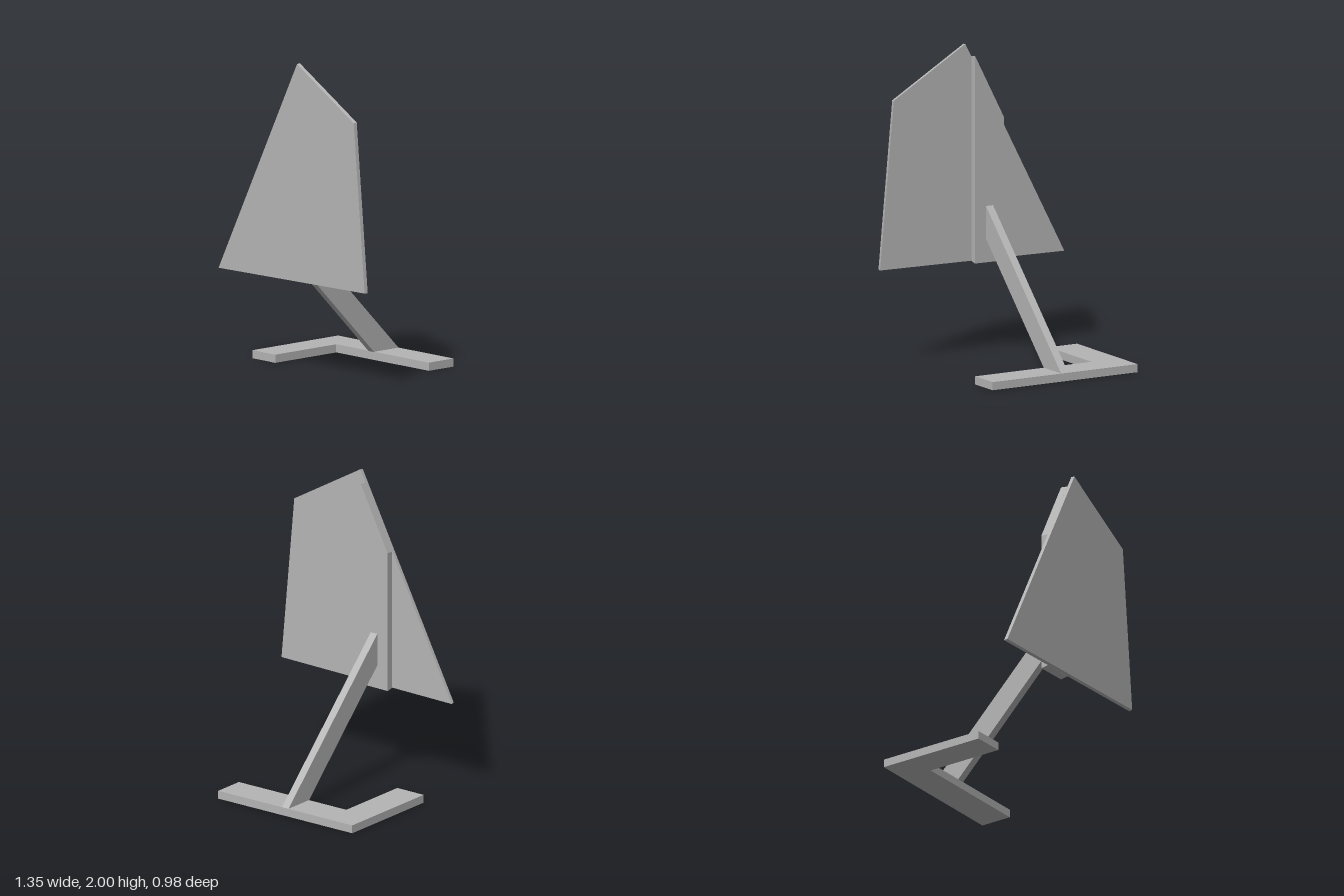
import * as THREE from 'three';

const grey = new THREE.MeshStandardMaterial({ color: 0xb4b4b4 });
grey.name = 'plain grey';

// Straight prism from an outline
function prism(points, depth) {
  const shape = new THREE.Shape(points.map(([x, y]) => new THREE.Vector2(x, y)));
  return new THREE.ExtrudeGeometry(shape, { depth, bevelEnabled: false });
}

// Slight draft: the front face is a touch smaller than the back
function draft(geometry, depth, centreX, centreY, scale) {
  const p = geometry.attributes.position;
  for (let i = 0; i < p.count; i++) {
    if (p.getZ(i) < depth / 2) continue;
    p.setX(i, centreX + (p.getX(i) - centreX) * scale);
    p.setY(i, centreY + (p.getY(i) - centreY) * scale);
  }
  geometry.computeVertexNormals();
  return geometry;
}

function part(name, geometry) {
  const mesh = new THREE.Mesh(geometry, grey);
  mesh.name = name;
  return mesh;
}

export function createModel() {
  const group = new THREE.Group();
  group.name = 'panelOnStand';

  // Four-sided upright panel
  const panel = part('panel', draft(prism(
    [[-0.675, 0.6], [0.673, 0.62], [0.572, 1.694], [0.049, 2]], 0.024), 0.024, 0, 1.25, 0.996));
  panel.position.z = 0.466;

  // Backing rib, its top cut along the panel's sloping edge
  const rib = part('backRib', draft(prism(
    [[-0.205, 0.598], [0.007, 0.601], [0.007, 1.926], [-0.205, 1.512]], 0.049), 0.049, -0.1, 1.25, 0.988));
  rib.position.z = 0.417;

  // Diagonal strut, outline drawn in side view
  const strut = part('strut', prism(
    [[0.28, 0.05], [0.49, 0.05], [-0.42, 0.963], [-0.42, 0.755]], 0.052).rotateY(Math.PI / 2));
  strut.position.x = -0.124;

  // L-shaped foot, outline drawn in plan
  const foot = part('foot', prism(
    [[-0.63, 0.49], [-0.63, -0.238], [-0.42, -0.24], [-0.42, 0.28], [0.431, 0.28], [0.431, 0.49]],
    0.052).rotateX(-Math.PI / 2));

  group.add(panel, rib, strut, foot);
  return group;
}
